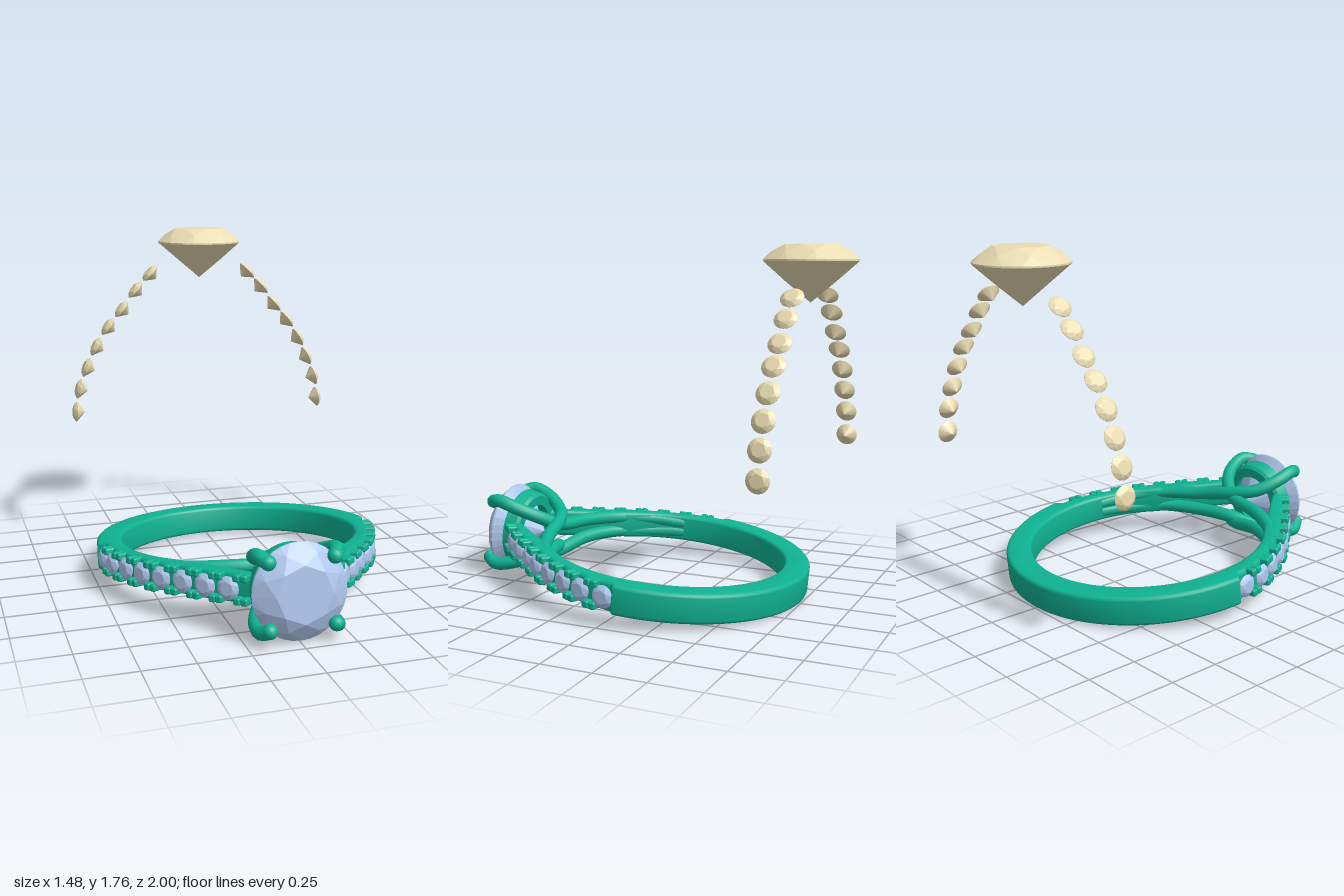
import * as THREE from 'three';
import { toCreasedNormals } from 'three/addons/utils/BufferGeometryUtils.js';
import { ConvexGeometry } from 'three/addons/geometries/ConvexGeometry.js';
import { RoundedBoxGeometry } from 'three/addons/geometries/RoundedBoxGeometry.js';

const metal = new THREE.MeshStandardMaterial({ color: 0x0fb292 });
const blue = new THREE.MeshStandardMaterial({ color: 0xb0c8ee, flatShading: true });
const cream = new THREE.MeshStandardMaterial({ color: 0xeaddb2, flatShading: true });

function mesh(name, geometry, material = metal) {
  const m = new THREE.Mesh(geometry, material);
  m.name = name;
  return m;
}

// Brilliant cut, axis +z, girdle at z = 0
const GEM_R = 0.228;
function brilliant() {
  const pts = [new THREE.Vector3(0, 0, -0.2)];
  const ring = (n, r, z, turn = 0) => {
    for (let i = 0; i < n; i++) {
      const a = ((i + turn) / n) * Math.PI * 2;
      pts.push(new THREE.Vector3(r * Math.cos(a), r * Math.sin(a), z));
    }
  };
  ring(8, 0.135, 0.075);
  ring(8, 0.19, 0.042, 0.5);
  ring(32, GEM_R, 0.004);
  ring(32, GEM_R, -0.004);
  ring(8, 0.12, -0.1, 0.5);
  return new ConvexGeometry(pts);
}

// Line of accent stones on the left shoulder (x, z), with a lead-in and a lead-out
const SHOULDER = [
  [0.19, 0.835], [0.285, 0.735], [0.37, 0.645], [0.45, 0.54], [0.53, 0.445], [0.6, 0.335],
  [0.655, 0.22], [0.7, 0.1], [0.72, -0.03], [0.722, -0.16],
];
const shoulderCurve = new THREE.CatmullRomCurve3(SHOULDER.map(([x, z]) => new THREE.Vector3(x, 0, z)));

// Point on the shoulder at stone index k, moved outward; angle turns +z to the outward normal
function onShoulder(k, out = 0) {
  const t = k / (SHOULDER.length - 1);
  const p = shoulderCurve.getPoint(t);
  const d = shoulderCurve.getTangent(t);
  const n = new THREE.Vector3(-d.z, 0, d.x).normalize();
  return { p: p.addScaledVector(n, out), angle: Math.atan2(n.x, n.z) };
}

// Centre stone and the two rows of accents
function stones(name, material) {
  const g = new THREE.Group();
  g.name = name;
  const geo = brilliant();
  const centre = mesh('centreStone', geo, material);
  centre.position.z = 0.905;
  g.add(centre);
  for (const s of [1, -1]) {
    for (let k = 1; k <= 8; k++) {
      const { p, angle } = onShoulder(k);
      const m = mesh('accentStone', geo, material);
      m.position.set(s * p.x, 0, p.z);
      m.rotation.y = s * angle;
      m.scale.setScalar(0.056 / GEM_R);
      g.add(m);
    }
  }
  return g;
}

// Band outline seen from above, shoulders lowered to the floor of the stone seats
function band() {
  const cz = -0.03, right = [], inner = [];
  for (let k = 0; k <= 8.4; k += 0.2) {
    const { p } = onShoulder(k, -0.02);
    right.push([p.x, p.z]);
  }
  const arc = (list, r, a0, n) => {
    for (let i = 0; i <= n; i++) {
      const a = a0 + (-Math.PI / 2 - a0) * (i / n);
      list.push([r * Math.cos(a), cz + r * Math.sin(a)]);
    }
  };
  arc(right, 0.74, -0.08, 32);
  inner.push([0.15, 0.77]);
  arc(inner, 0.61, 0.79, 44);
  const mirror = (list) => list.slice(0, -1).reverse().map(([x, z]) => [-x, z]);
  const outline = [...right, ...mirror(right), ...mirror(inner).reverse(), ...inner.slice().reverse()];
  const shape = new THREE.Shape(outline.map(([x, z]) => new THREE.Vector2(x, z)));
  const bevel = 0.018, height = 0.145;
  let geo = new THREE.ExtrudeGeometry(shape, {
    depth: height - 2 * bevel, bevelThickness: bevel, bevelSize: bevel,
    bevelOffset: -bevel, bevelSegments: 3, steps: 1,
  });
  geo.translate(0, 0, bevel - height / 2).rotateX(Math.PI / 2);
  return mesh('band', toCreasedNormals(geo, 0.6));
}

// Pairs of small claws along both edges, between neighbouring stones
function shoulderClaws() {
  const g = new THREE.Group();
  g.name = 'shoulderClaws';
  const geo = new RoundedBoxGeometry(0.036, 0.036, 0.07, 2, 0.01);
  for (const s of [1, -1])
    for (const y of [0.054, -0.054])
      for (let k = 1; k <= 8; k++)
        for (const step of [-0.64, -0.36]) {
          const { p, angle } = onShoulder(k + step, -0.015);
          const m = mesh('claw', geo);
          m.position.set(s * p.x, y, p.z);
          m.rotation.y = s * angle;
          g.add(m);
        }
  return g;
}

// Strand leaving one shoulder, crossing the middle and ending as a prong on the other side
function strand(side, up) {
  const lift = side * up * -0.014;
  const path = [
    [-0.615, 0.025, 0.14], [-0.54, 0.035, 0.31], [-0.43, 0.04, 0.45], [-0.22, 0.05, 0.56],
    [0, 0.075 + lift, 0.615], [0.115, 0.11, 0.69], [0.175, 0.15, 0.79], [0.186, 0.174, 0.89], [0.158, 0.156, 0.945],
  ].map(([x, y, z]) => new THREE.Vector3(side * x, up * y, z));
  const g = new THREE.Group();
  g.name = 'crossingProng';
  g.add(mesh('strand', new THREE.TubeGeometry(new THREE.CatmullRomCurve3(path), 60, 0.035, 14)));
  const tip = mesh('prongTip', new THREE.SphereGeometry(0.036, 16, 12));
  tip.position.copy(path[path.length - 1]);
  g.add(tip);
  return g;
}

// Collar under the centre stone
function collar() {
  const profile = [[0.135, 0], [0.185, 0], [0.2, 0.015], [0.208, 0.08], [0.165, 0.08], [0.135, 0]];
  const geo = new THREE.LatheGeometry(profile.map(([r, h]) => new THREE.Vector2(r, h)), 48);
  geo.rotateX(Math.PI / 2).translate(0, 0, 0.765);
  const m = mesh('collar', toCreasedNormals(geo, 0.6), metal.clone());
  m.material.side = THREE.DoubleSide;
  return m;
}

export function createModel() {
  const model = new THREE.Group();
  model.name = 'ringWithLooseStones';

  // Ring, tipped so that the head rises
  const ring = new THREE.Group();
  ring.name = 'ring';
  ring.add(band(), shoulderClaws(), collar(), stones('setStones', blue));
  for (const side of [1, -1]) for (const up of [1, -1]) ring.add(strand(side, up));
  ring.rotation.x = -0.1;
  ring.position.set(0, 0.152, 0.01);
  model.add(ring);

  // Matching loose stones, standing upright behind the ring
  const loose = stones('looseStones', cream);
  loose.rotation.x = -Math.PI / 2;
  loose.position.set(0, 0.785, -0.772);
  model.add(loose);
  return model;
}
